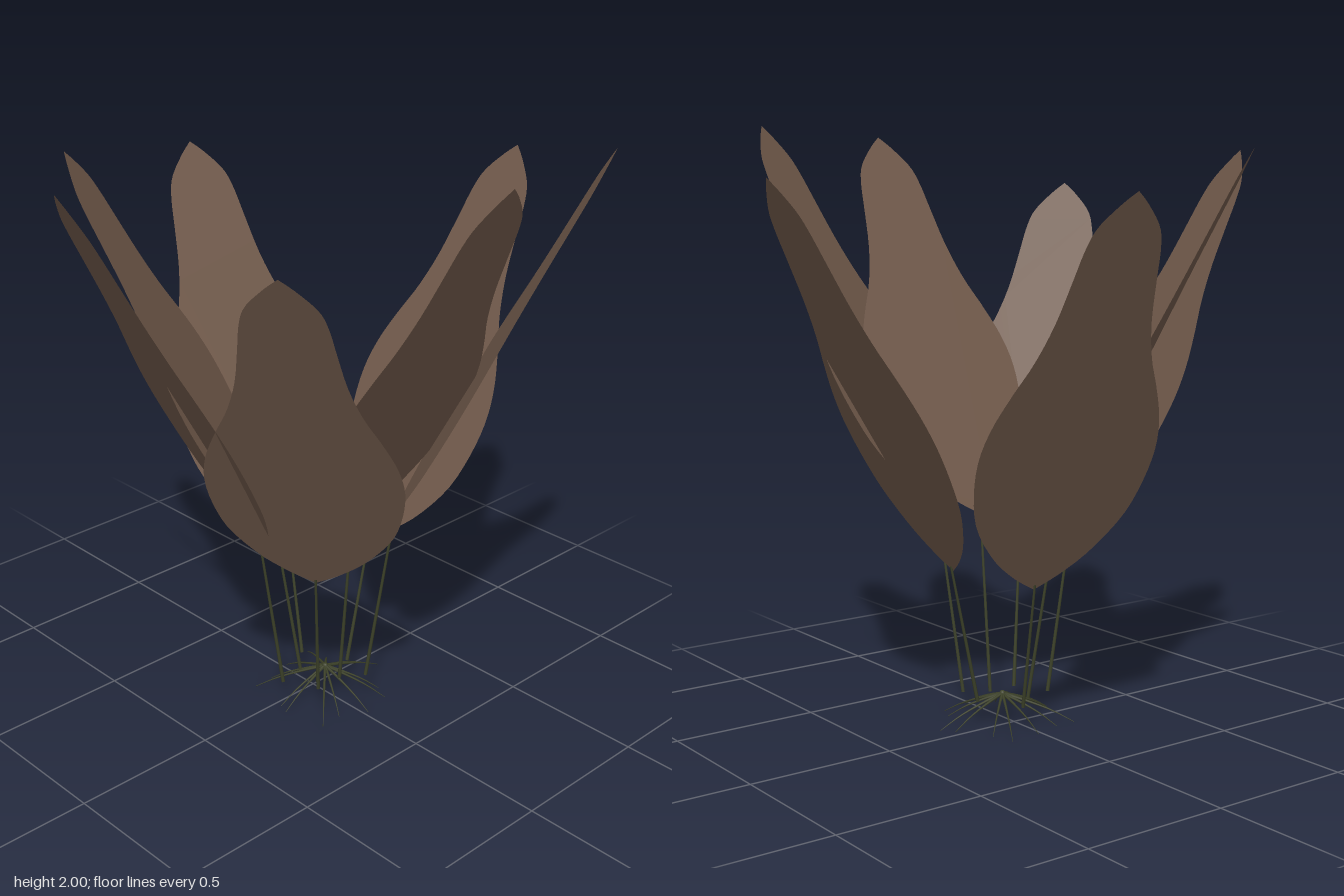
import * as THREE from 'three';

const V = (x, y, z) => new THREE.Vector3(x, y, z);

const leafMat = new THREE.MeshStandardMaterial({ color: 0x715a4b, side: THREE.DoubleSide });
const stemMat = new THREE.MeshStandardMaterial({ color: 0x3d4229 });

// Each plant blade: foot of the stem, base of the leaf, tip of the leaf
const BLADES = [
  { foot: V(0.058, 0.08, -0.11), base: V(0.06, 0.54, -0.205), tip: V(0.115, 1.82, -0.84) },
  { foot: V(0.17, 0.08, -0.09), base: V(0.24, 0.72, -0.137), tip: V(0.78, 2.0, -0.49) },
  { foot: V(0.12, 0.08, -0.012), base: V(0.165, 0.69, -0.012), tip: V(0.79, 1.97, -0.015) },
  { foot: V(0.12, 0.08, 0.09), base: V(0.172, 0.54, 0.15), tip: V(0.56, 1.81, 0.66) },
  { foot: V(0.005, 0.08, 0.148), base: V(-0.015, 0.64, 0.22), tip: V(-0.18, 1.92, 0.84) },
  { foot: V(-0.015, 0.08, 0.048), base: V(-0.077, 0.65, 0.1), tip: V(-0.55, 1.92, 0.54) },
  { foot: V(-0.09, 0.08, -0.03), base: V(-0.175, 0.5, -0.052), tip: V(-0.8, 1.78, -0.165) },
];

// Half width of a leaf along its length: [position 0..1, half width]
const PROFILE = [
  [0, 0], [0.04, 0.085], [0.1, 0.175], [0.19, 0.26], [0.28, 0.298], [0.37, 0.31], [0.45, 0.292],
  [0.53, 0.25], [0.61, 0.2], [0.7, 0.163], [0.8, 0.14], [0.87, 0.125], [0.92, 0.102], [0.97, 0.045], [1, 0],
];

// Flat leaf outline standing on the origin, mirrored about its midrib
function leafGeometry(length) {
  const side = (s) => PROFILE.map(([t, w]) => new THREE.Vector2(s * w, t * length));
  const shape = new THREE.Shape();
  shape.moveTo(0, 0);
  shape.splineThru(side(1).slice(1));
  shape.splineThru(side(-1).reverse().slice(1));
  return new THREE.ShapeGeometry(shape, 3);
}

// Tube that narrows from r0 to r1 along a curve
function taperedTube(curve, r0, r1, segments, sides) {
  const geo = new THREE.TubeGeometry(curve, segments, 1, sides);
  const pos = geo.attributes.position;
  const p = V(0, 0, 0);
  for (let i = 0; i < pos.count; i++) {
    const t = Math.floor(i / (sides + 1)) / segments;
    const c = curve.getPointAt(t);
    p.fromBufferAttribute(pos, i).sub(c).multiplyScalar(r0 + (r1 - r0) * t).add(c);
    pos.setXYZ(i, p.x, p.y, p.z);
  }
  return geo;
}

function add(parent, name, geo, mat) {
  const mesh = new THREE.Mesh(geo, mat);
  mesh.name = name;
  parent.add(mesh);
  return mesh;
}

export function createModel() {
  const plant = new THREE.Group();
  plant.name = 'plant';

  // Leaves with their stems
  for (const { foot, base, tip } of BLADES) {
    const up = tip.clone().sub(base);
    const length = up.length();
    up.normalize();
    const across = V(up.z, 0, -up.x).normalize();
    const normal = across.clone().cross(up);
    const leaf = add(plant, 'leaf', leafGeometry(length), leafMat);
    leaf.quaternion.setFromRotationMatrix(new THREE.Matrix4().makeBasis(across, up, normal));
    leaf.position.copy(base);

    const top = base.clone().addScaledVector(up, 0.02);
    add(plant, 'stem', taperedTube(new THREE.LineCurve3(foot, top), 0.0065, 0.004, 4, 6), stemMat);
  }

  // Thin roots arching out from the crown to the ground
  const crown = V(0.045, 0.092, -0.015);
  const ROOTS = 14;
  for (let i = 0; i < ROOTS; i++) {
    const a = (i + 0.3 * Math.sin(i * 2.7)) / ROOTS * Math.PI * 2;
    const reach = 0.215 + 0.03 * Math.sin(i * 4.1);
    const at = (k, y) => V(crown.x + Math.cos(a) * reach * k, y, crown.z + Math.sin(a) * reach * k);
    const curve = new THREE.CatmullRomCurve3([crown, at(0.35, 0.068), at(0.7, 0.038), at(1, 0.002)]);
    add(plant, 'root', taperedTube(curve, 0.006, 0.001, 8, 5), stemMat);
  }
  const knob = add(plant, 'crown', new THREE.SphereGeometry(0.011, 10, 8), stemMat);
  knob.position.copy(crown);

  return plant;
}
